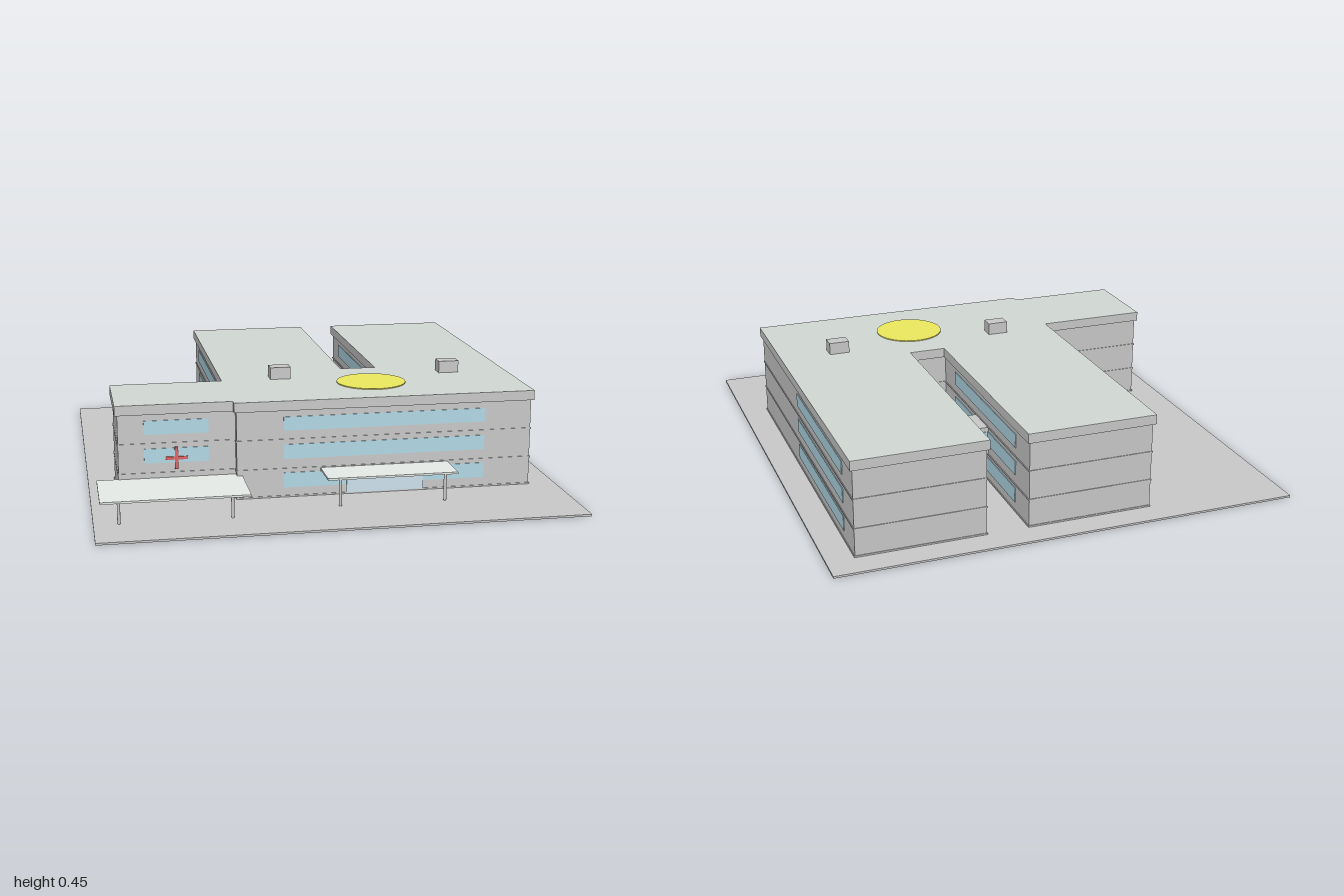
import * as THREE from 'three';

const mat = (color) => new THREE.MeshStandardMaterial({ color });
const grey = mat(0xcccccc);
const roofing = mat(0xd4dad6);
const canopyMat = mat(0xe8eeea);
const glass = mat(0xb4dce8);
const doorGlass = mat(0xd0e4f0);
const yellow = mat(0xf0ec60);
const red = mat(0xe06464);

export function createModel() {
  const model = new THREE.Group();

  const add = (name, geometry, material) => {
    const mesh = new THREE.Mesh(geometry, material);
    mesh.name = name;
    model.add(mesh);
    return mesh;
  };

  // Box given by its limits on each axis
  const box = (name, x0, x1, y0, y1, z0, z1, material = grey) => {
    const mesh = add(name, new THREE.BoxGeometry(x1 - x0, y1 - y0, z1 - z0), material);
    mesh.position.set((x0 + x1) / 2, (y0 + y1) / 2, (z0 + z1) / 2);
    return mesh;
  };

  // U-shaped building with a side wing, grown outwards by o
  const storey = (name, o, y0, y1, material = grey) => {
    const outline = [
      [-0.82 - o, 0.55 + o], [-0.82 - o, 0.21 - o], [-0.365 - o, 0.21 - o],
      [-0.365 - o, -0.89 - o], [0.14 + o, -0.89 - o], [0.14 + o, 0.07 - o],
      [0.31 - o, 0.07 - o], [0.31 - o, -0.89 - o], [0.82 + o, -0.89 - o],
      [0.82 + o, 0.58 + o], [-0.365 - o, 0.58 + o], [-0.365 - o, 0.55 + o],
    ].map(([x, z]) => new THREE.Vector2(x, z));
    const geometry = new THREE.ExtrudeGeometry(new THREE.Shape(outline), { depth: y1 - y0, bevelEnabled: false });
    geometry.rotateX(Math.PI / 2).translate(0, y1, 0);
    add(name, geometry, material);
  };

  // Ground and main body
  box('ground', -0.93, 0.93, 0, 0.008, -1, 1);
  storey('walls', 0, 0.008, 0.36);
  storey('plinth', 0.003, 0.008, 0.014);
  for (const y of [0.122, 0.24]) storey('floorBand', 0.003, y - 0.003, y + 0.003);
  storey('parapet', 0.01, 0.358, 0.394);
  storey('roofSurface', 0.01, 0.394, 0.397, roofing);

  // Window strips on three floors
  const floors = [[0.047, 0.107], [0.163, 0.221], [0.277, 0.332]];
  floors.forEach(([y0, y1], i) => {
    box('frontWindow', -0.18, 0.63, y0, y1, 0.575, 0.583, glass);
    if (i > 0) box('wingWindow', -0.72, -0.47, y0, y1, 0.545, 0.553, glass);
    for (const x of [-0.365, 0.14, 0.31, 0.82]) {
      box('sideWindow', x - 0.003, x + 0.003, y0, y1, -0.75, -0.06, glass);
    }
  });

  // Covered bridge across the courtyard
  box('bridge', 0.14, 0.31, 0.122, 0.24, -0.453, -0.313);
  for (const z of [-0.453, -0.313]) {
    box('bridgeWindow', 0.15, 0.3, 0.163, 0.221, z - 0.003, z + 0.003, glass);
  }

  // Entrances
  box('mainDoor', 0.07, 0.38, 0.014, 0.112, 0.575, 0.586, doorGlass);
  box('wingDoor', -0.72, -0.47, 0.014, 0.095, 0.545, 0.556, doorGlass);

  // Canopies on slim posts
  const canopy = (name, x0, x1, y, z0, z1, postXs, postZ) => {
    box(name, x0, x1, y - 0.008, y, z0, z1, canopyMat);
    for (const x of postXs) {
      const post = add(name + 'Post', new THREE.CylinderGeometry(0.006, 0.006, y - 0.012, 12), grey);
      post.position.set(x, (y - 0.012) / 2 + 0.006, postZ);
    }
  };
  canopy('mainCanopy', -0.035, 0.48, 0.121, 0.58, 0.737, [0.015, 0.43], 0.73);
  canopy('wingCanopy', -0.905, -0.343, 0.103, 0.545, 0.828, [-0.835, -0.41], 0.797);

  // Medical cross above the wing entrance
  box('crossUpright', -0.602, -0.589, 0.137, 0.225, 0.55, 0.558, red);
  box('crossBar', -0.639, -0.552, 0.175, 0.187, 0.55, 0.558, red);

  // Roof equipment and landing pad
  for (const x of [-0.132, 0.582]) {
    box('roofUnit', x - 0.042, x + 0.042, 0.39, 0.446, 0.155, 0.213);
  }
  const pad = add('landingPad', new THREE.CylinderGeometry(0.14, 0.14, 0.006, 48), yellow);
  pad.position.set(0.223, 0.398, 0.325);

  return model;
}
